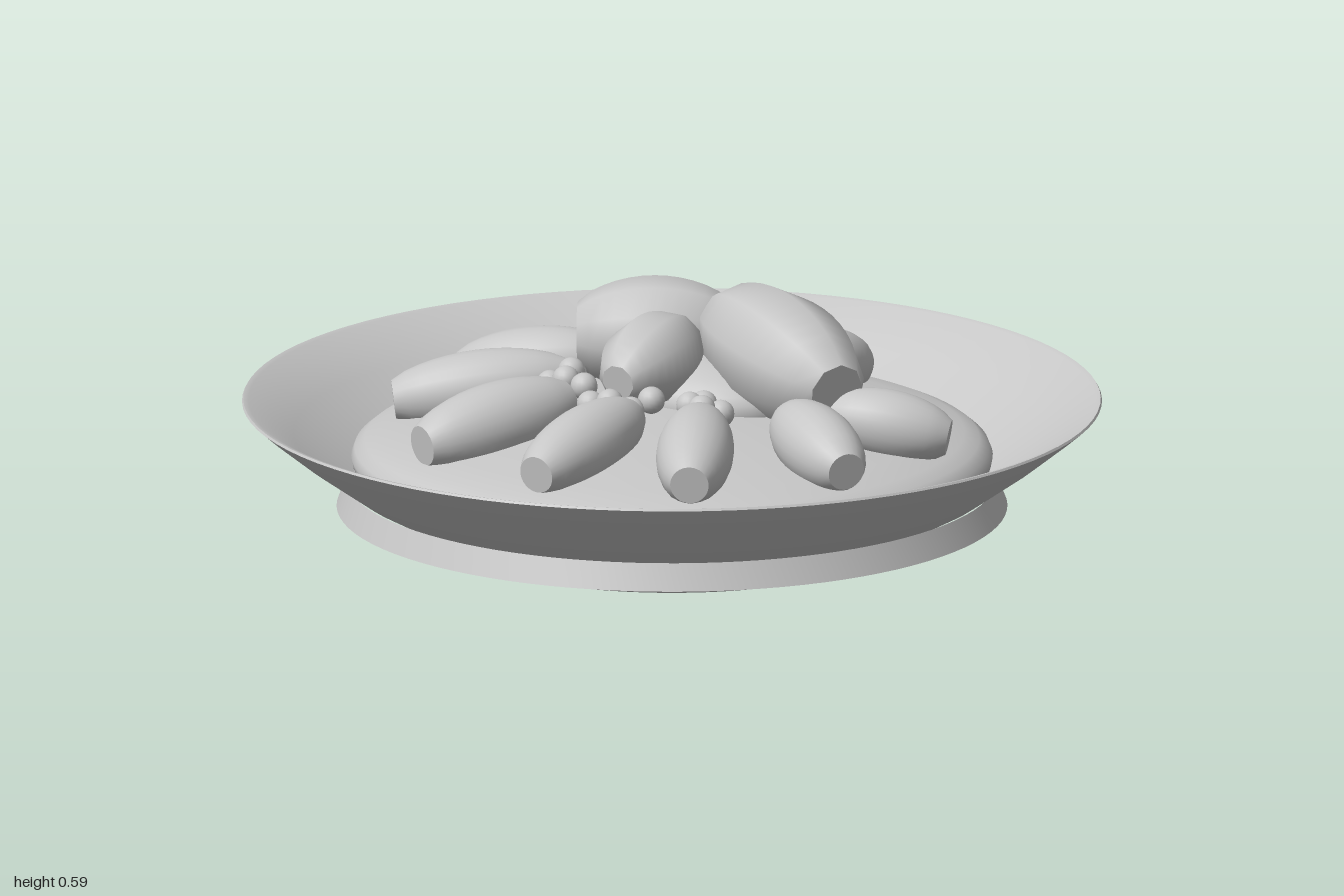
import * as THREE from 'three';
import { toCreasedNormals } from 'three/addons/utils/BufferGeometryUtils.js';

const gray = new THREE.MeshStandardMaterial({ color: 0xc6c6c6 });
gray.name = 'plain gray';
const graySheet = new THREE.MeshStandardMaterial({ color: 0xc6c6c6, side: THREE.DoubleSide });
graySheet.name = 'plain gray sheet';

function lathe(name, profile, segments = 96, material = gray, crease = 0.5) {
  const points = profile.map(([r, y]) => new THREE.Vector2(r, y));
  const mesh = new THREE.Mesh(toCreasedNormals(new THREE.LatheGeometry(points, segments), crease), material);
  mesh.name = name;
  return mesh;
}

// Barrel-shaped morsel with blunt ends, stretched between two points
function morsel(name, a, b, radius, sides, endScale, crease) {
  const from = new THREE.Vector3(...a), to = new THREE.Vector3(...b);
  const axis = to.clone().sub(from), length = axis.length();
  const profile = [[0, -length / 2]];
  const steps = 12;
  for (let i = 0; i <= steps; i++) {
    const t = (i / steps) * 2 - 1;
    const r = radius * (endScale + (1 - endScale) * Math.pow(1 - t * t, 0.8));
    profile.push([r, t * length / 2]);
  }
  profile.push([0, length / 2]);
  const mesh = lathe(name, profile, sides, gray, crease);
  mesh.position.copy(from).add(to).multiplyScalar(0.5);
  mesh.quaternion.setFromUnitVectors(new THREE.Vector3(0, 1, 0), axis.normalize());
  return mesh;
}

export function createModel() {
  const model = new THREE.Group();
  model.name = 'platter';

  // Plate body with flat foot and wide sloping rim
  model.add(lathe('plate', [
    [0, 0], [0.53, 0], [0.55, 0.004], [0.575, 0.035], [0.63, 0.065], [0.75, 0.13],
    [0.88, 0.222], [0.97, 0.294], [1, 0.32], [0.997, 0.325], [0.985, 0.322],
    [0.88, 0.244], [0.74, 0.15], [0, 0.15],
  ]));

  // Thin flared skirt under the rim
  model.add(lathe('skirt', [[0.78, 0.068], [0.755, 0.13]], 96, graySheet));

  // Domed bed with a rounded edge
  model.add(lathe('bed', [
    [0.72, 0.15], [0.742, 0.17], [0.746, 0.19], [0.738, 0.21], [0.715, 0.229],
    [0.68, 0.244], [0.6, 0.263], [0.45, 0.287], [0.3, 0.307], [0.15, 0.322], [0, 0.328],
  ], 96, gray, 1));

  // Ring of small morsels: outer end x, z, inner end x, z, radius
  const ring = [
    [-0.38, -0.45, -0.12, -0.29, 0.08],
    [0.12, -0.61, 0.1, -0.3, 0.09],
    [0.67, -0.15, 0.42, -0.03, 0.083],
    [0.64, 0.24, 0.37, 0.07, 0.09],
    [0.4, 0.54, 0.21, 0.2, 0.09],
    [0.05, 0.655, 0.045, 0.25, 0.088],
    [-0.315, 0.58, -0.155, 0.21, 0.095],
    [-0.6, 0.265, -0.27, 0.03, 0.09],
    [-0.615, -0.04, -0.29, -0.17, 0.088],
  ];
  ring.forEach(([x, z, u, v, r], i) => {
    model.add(morsel('ringMorsel' + (i + 1), [x, 0.295, z], [u, 0.345, v], r, 24, 0.5, 0.7));
  });

  // Larger, slightly angular morsels heaped in the middle
  model.add(morsel('largeMorselLeft', [0.01, 0.475, -0.21], [0.45, 0.4, -0.01], 0.148, 9, 0.48, 0.72));
  model.add(morsel('largeMorselRight', [-0.3, 0.425, -0.06], [0.01, 0.43, -0.24], 0.135, 10, 0.55, 0.72));
  model.add(morsel('frontMorsel', [-0.03, 0.45, -0.1], [-0.02, 0.405, 0.2], 0.105, 9, 0.4, 0.72));

  // Hidden core holding up the heap
  const core = new THREE.Mesh(new THREE.SphereGeometry(1, 32, 16), gray);
  core.name = 'heapCore';
  core.scale.set(0.24, 0.1, 0.16);
  core.position.set(0.03, 0.32, -0.08);
  model.add(core);

  // Little beads tucked between the morsels
  const beads = [
    [-0.26, 0.02], [-0.24, 0.06], [-0.26, 0.12], [-0.21, 0.13], [-0.08, 0.225],
    [-0.01, 0.25], [0.03, 0.22], [0.06, 0.18], [0.13, 0.12], [0.16, 0.17],
    [0.22, 0.13], [0.2, 0.18], [0.14, 0.08], [-0.14, 0.16],
  ];
  const beadShape = new THREE.SphereGeometry(0.032, 16, 12);
  beads.forEach(([x, z], i) => {
    const bead = new THREE.Mesh(beadShape, gray);
    bead.name = 'bead' + (i + 1);
    bead.position.set(x, 0.35 + 0.02 * (i % 2), z);
    model.add(bead);
  });

  return model;
}
